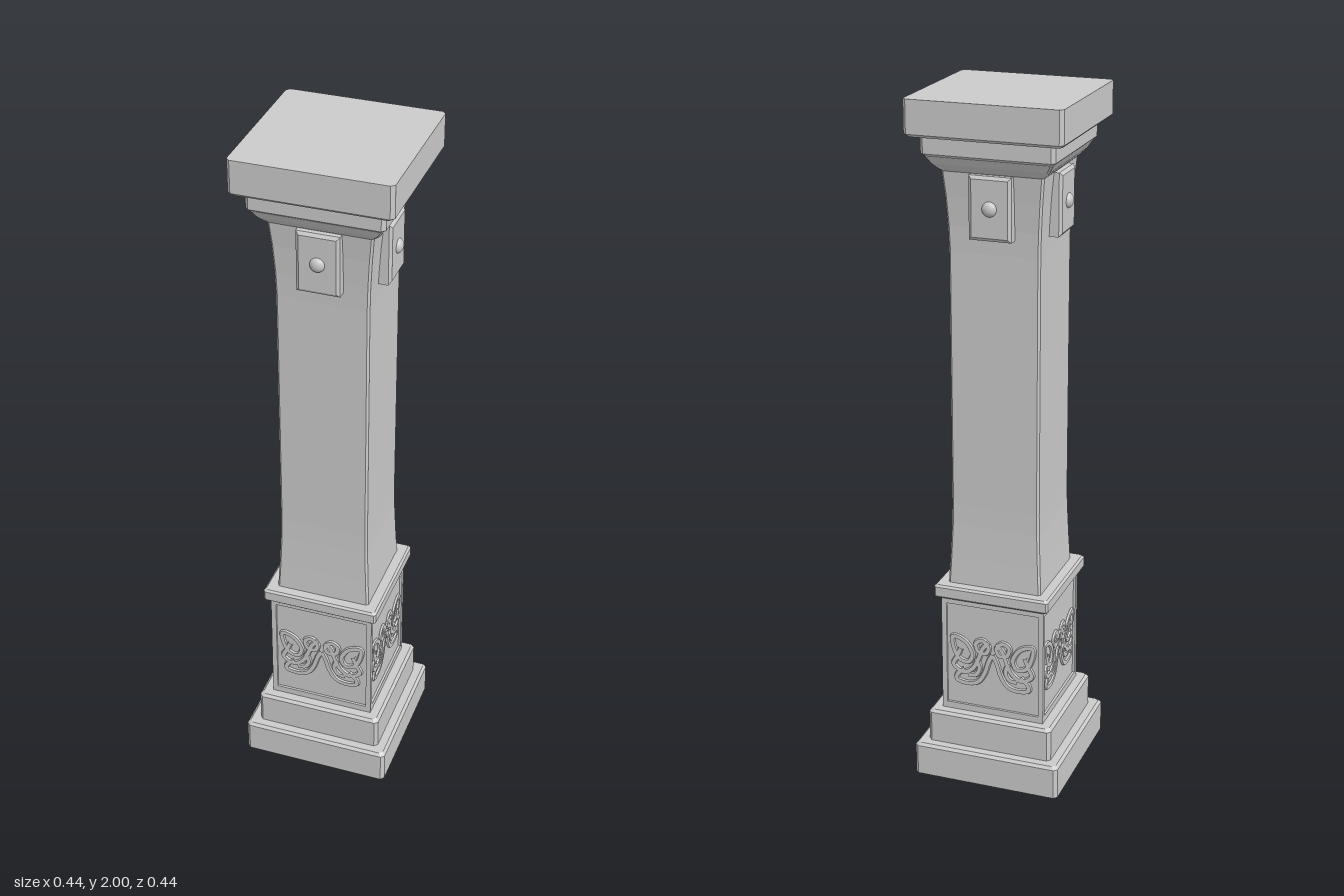
import * as THREE from 'three';

const stone = new THREE.MeshStandardMaterial({ color: 0xcccccc, flatShading: true });
const smoothStone = new THREE.MeshStandardMaterial({ color: 0xcccccc });

// Square loft with cut corners: profile is a list of [halfWidth, y] from bottom to top
function squareLoft(name, profile, cut = 0.01) {
  const pos = [], idx = [];
  const n = 8;
  for (const [h, y] of profile) {
    const k = h - cut;
    for (const [x, z] of [[h, k], [k, h], [-k, h], [-h, k], [-h, -k], [-k, -h], [k, -h], [h, -k]]) pos.push(x, y, z);
  }
  for (let r = 0; r < profile.length - 1; r++) {
    for (let i = 0; i < n; i++) {
      const a = r * n + i, b = r * n + (i + 1) % n;
      idx.push(a, a + n, b, b, a + n, b + n);
    }
  }
  const top = (profile.length - 1) * n;
  for (let i = 1; i < n - 1; i++) {
    idx.push(0, i, i + 1);
    idx.push(top, top + i + 1, top + i);
  }
  const geo = new THREE.BufferGeometry();
  geo.setAttribute('position', new THREE.Float32BufferAttribute(pos, 3));
  geo.setIndex(idx);
  const flat = geo.toNonIndexed();
  flat.computeVertexNormals();
  const mesh = new THREE.Mesh(flat, stone);
  mesh.name = name;
  return mesh;
}

function rect(Type, x, y0, y1) {
  const p = new Type();
  p.moveTo(-x, y0);
  p.lineTo(x, y0);
  p.lineTo(x, y1);
  p.lineTo(-x, y1);
  p.closePath();
  return p;
}

// Raised border around each pedestal panel
function panelFrame() {
  const shape = rect(THREE.Shape, 0.155, 0.2, 0.56);
  shape.holes.push(rect(THREE.Path, 0.14, 0.22, 0.54));
  const mesh = new THREE.Mesh(new THREE.ExtrudeGeometry(shape, { depth: 0.008, bevelEnabled: false }), stone);
  mesh.position.z = 0.147;
  mesh.name = 'panelFrame';
  return mesh;
}

// Flat-topped carved strand following a curve
function strand(points, closed, side) {
  const curve = new THREE.CatmullRomCurve3(points.map(([x, y]) => new THREE.Vector3(x * side, y, 0)), closed);
  const geo = new THREE.TubeGeometry(curve, 56, 0.0085, 8, closed);
  const p = geo.attributes.position;
  for (let i = 0; i < p.count; i++) p.setZ(i, THREE.MathUtils.clamp(p.getZ(i), -0.005, 0.005));
  geo.computeVertexNormals();
  const mesh = new THREE.Mesh(geo, stone);
  mesh.position.z = 0.149;
  mesh.name = 'knotStrand';
  return mesh;
}

// Half of the interlaced ornament; it is mirrored about x = 0
const strands = [
  { closed: true, points: [[0.122, 0.435], [0.085, 0.425], [0.062, 0.385], [0.075, 0.36], [0.1, 0.365], [0.118, 0.395]] },
  { closed: false, points: [[0.098, 0.4], [0.11, 0.37], [0.12, 0.345], [0.09, 0.325], [0.062, 0.34], [0.045, 0.37], [0.03, 0.41], [0.012, 0.432]] },
  { closed: false, points: [[0.085, 0.335], [0.108, 0.315], [0.11, 0.298], [0.075, 0.29], [0.045, 0.3], [0.025, 0.33], [0.012, 0.37], [0, 0.395]] },
  { closed: true, points: [[0.03, 0.435], [0.05, 0.425], [0.045, 0.4], [0.022, 0.395], [0.012, 0.415]] },
  { closed: false, points: [[0.05, 0.375], [0.04, 0.345], [0.052, 0.322], [0.075, 0.318]] },
];

function knotwork() {
  const group = new THREE.Group();
  group.name = 'knotwork';
  for (const side of [1, -1]) {
    for (const s of strands) group.add(strand(s.points, s.closed, side));
  }
  return group;
}

// Bevelled plaque with a round stud, below the capital
function plaque() {
  const group = new THREE.Group();
  group.name = 'plaque';
  const b = 0.009;
  const geo = new THREE.ExtrudeGeometry(rect(THREE.Shape, 0.06 - b, 1.625 + b, 1.8 - b), {
    depth: 0.04, bevelSize: b, bevelThickness: 0.007, bevelSegments: 1,
  });
  const plate = new THREE.Mesh(geo, stone);
  plate.name = 'plate';
  plate.position.z = 0.118;
  const stud = new THREE.Mesh(new THREE.SphereGeometry(0.021, 20, 14), smoothStone);
  stud.name = 'stud';
  stud.scale.z = 0.75;
  stud.position.set(0, 1.713, 0.163);
  group.add(plate, stud);
  return group;
}

export function createModel() {
  const model = new THREE.Group();
  model.name = 'column';

  // Stepped base and pedestal
  model.add(squareLoft('plinth', [[0.22, 0], [0.22, 0.092], [0.212, 0.1]]));
  model.add(squareLoft('baseStep', [[0.188, 0.1], [0.188, 0.192], [0.18, 0.2]]));
  model.add(squareLoft('pedestal', [[0.148, 0.2], [0.148, 0.56]], 0.002));
  model.add(squareLoft('pedestalCap', [[0.166, 0.56], [0.172, 0.566], [0.172, 0.594], [0.166, 0.6]], 0.006));

  // Shaft, flaring gently at both ends
  model.add(squareLoft('shaft', [
    [0.139, 0.6], [0.135, 0.68], [0.131, 0.78], [0.13, 0.84],
    [0.13, 1.58], [0.132, 1.65], [0.137, 1.73], [0.144, 1.802],
  ], 0.006));

  // Capital: cove, step and top slab
  model.add(squareLoft('capitalCove', [[0.143, 1.8], [0.152, 1.808], [0.166, 1.823], [0.178, 1.843], [0.178, 1.855]], 0.006));
  model.add(squareLoft('capitalStep', [[0.18, 1.845], [0.187, 1.852], [0.187, 1.905]]));
  model.add(squareLoft('topSlab', [[0.212, 1.9], [0.22, 1.908], [0.22, 2]]));

  // The four faces carry the same ornament
  for (let i = 0; i < 4; i++) {
    const face = new THREE.Group();
    face.name = 'faceOrnament';
    face.add(panelFrame(), knotwork(), plaque());
    face.rotation.y = i * Math.PI / 2;
    model.add(face);
  }
  return model;
}
